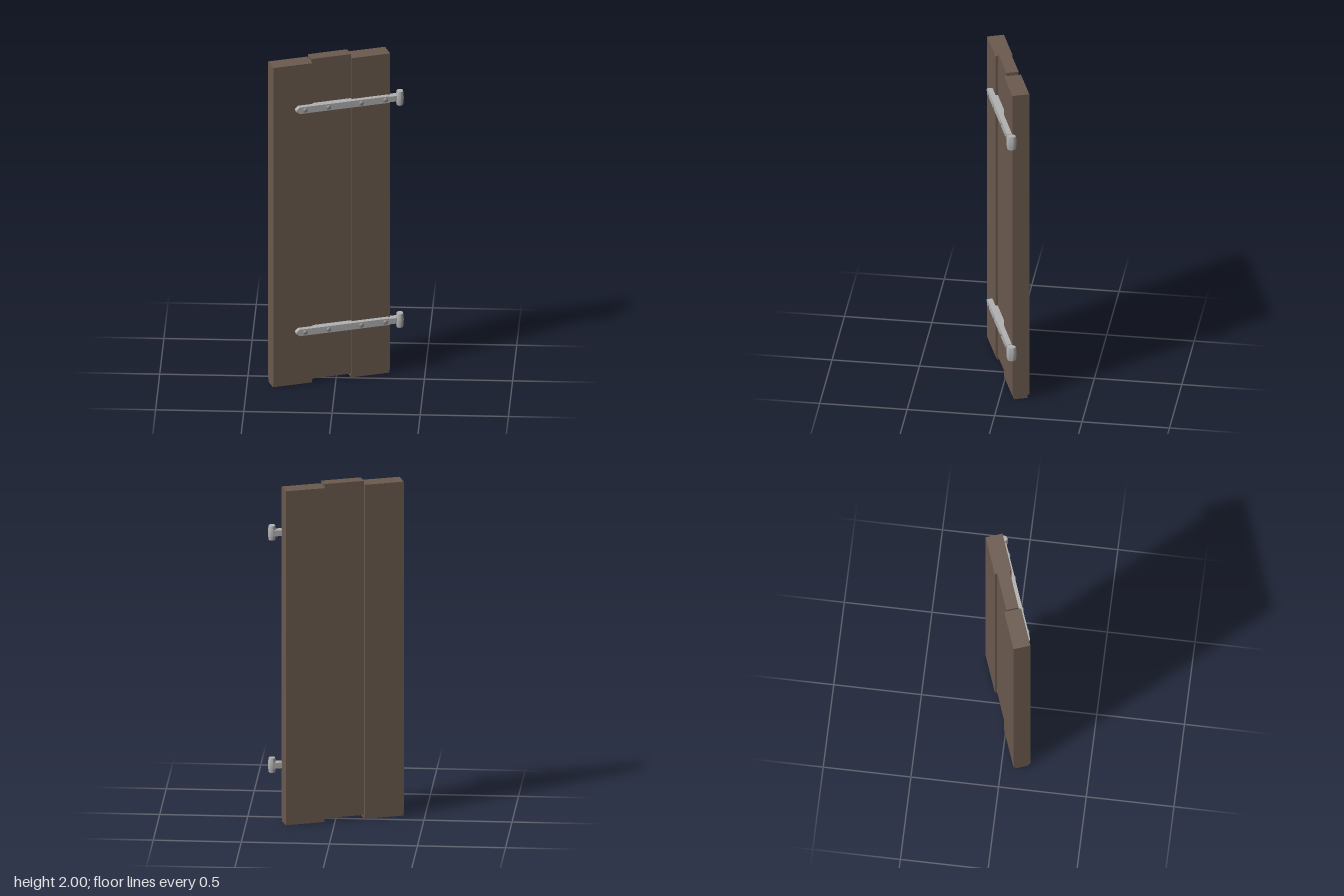
import * as THREE from 'three';
import { toCreasedNormals } from 'three/addons/utils/BufferGeometryUtils.js';

const material = (name, color) => {
  const m = new THREE.MeshStandardMaterial({ color });
  m.name = name;
  return m;
};

export function createModel() {
  const wood = material('brown wood', 0x6b5a4e);
  const iron = material('grey iron', 0xb2b2b2);
  const rivetIron = material('dark iron', 0x8c8c8c);

  const model = new THREE.Group();
  model.name = 'shutter';

  // The whole panel stands swung open by 20 degrees
  const panel = new THREE.Group();
  panel.name = 'panel';
  panel.rotation.y = THREE.MathUtils.degToRad(20);
  model.add(panel);

  const add = (parent, name, geometry, mat, x = 0, y = 0, z = 0) => {
    const mesh = new THREE.Mesh(geometry, mat);
    mesh.name = name;
    mesh.position.set(x, y, z);
    parent.add(mesh);
    return mesh;
  };

  // Box given by its limits on each axis
  const addBox = (name, [x0, x1], [y0, y1], [z0, z1]) =>
    add(panel, name, new THREE.BoxGeometry(x1 - x0, y1 - y0, z1 - z0), wood,
      (x0 + x1) / 2, (y0 + y1) / 2, (z0 + z1) / 2);

  // Thick outer planks with a recessed foot, thinner raised middle plank
  for (const [side, span] of [['right', [-0.383, -0.152]], ['left', [0.081, 0.31]]]) {
    addBox(side + 'Plank', span, [0.022, 1.98], [-0.064, 0.034]);
    addBox(side + 'PlankFoot', span, [0, 0.022], [-0.054, 0.024]);
  }
  addBox('middlePlank', [-0.152, 0.081], [0.022, 2], [-0.051, 0.02]);

  // Strap outline: pointed tip, straight bar, slightly narrower neck
  const half = [[-0.256, 0.004], [-0.236, 0.02], [0.298, 0.02], [0.298, 0.017], [0.36, 0.017]];
  const outline = [
    ...half.map(([x, y]) => new THREE.Vector2(x, -y)),
    ...half.map(([x, y]) => new THREE.Vector2(x, y)).reverse(),
  ];
  const strapGeometry = new THREE.ExtrudeGeometry(new THREE.Shape(outline), {
    depth: 0.042, bevelEnabled: false,
  });

  // Barrel with a bulging waist
  const profile = [[0, -0.042], [0.83, -0.042], [0.96, -0.022], [1, 0], [0.96, 0.022], [0.83, 0.042], [0, 0.042]];
  const barrelGeometry = toCreasedNormals(
    new THREE.LatheGeometry(profile.map(([r, y]) => new THREE.Vector2(r, y)), 20)
      .scale(0.0225, 1, 0.029),
    0.7
  );

  // Shallow domed rivet facing forward
  const rivetGeometry = new THREE.SphereGeometry(0.014, 10, 4, 0, Math.PI * 2, 0, Math.PI / 2)
    .rotateX(Math.PI / 2).scale(1, 1, 0.62);

  for (const [level, y] of [['upper', 1.708], ['lower', 0.333]]) {
    const hinge = new THREE.Group();
    hinge.name = level + 'Hinge';
    hinge.position.y = y;
    panel.add(hinge);
    add(hinge, 'strap', strapGeometry, iron, 0, 0, 0.021);
    // The barrel stays square to the wall
    add(hinge, 'barrel', barrelGeometry, iron, 0.362, 0, 0.05).rotation.y = -panel.rotation.y;
    for (const x of [-0.202, -0.063, 0.131, 0.274]) {
      add(hinge, 'rivet', rivetGeometry, rivetIron, x, 0, 0.063);
    }
  }

  return model;
}
